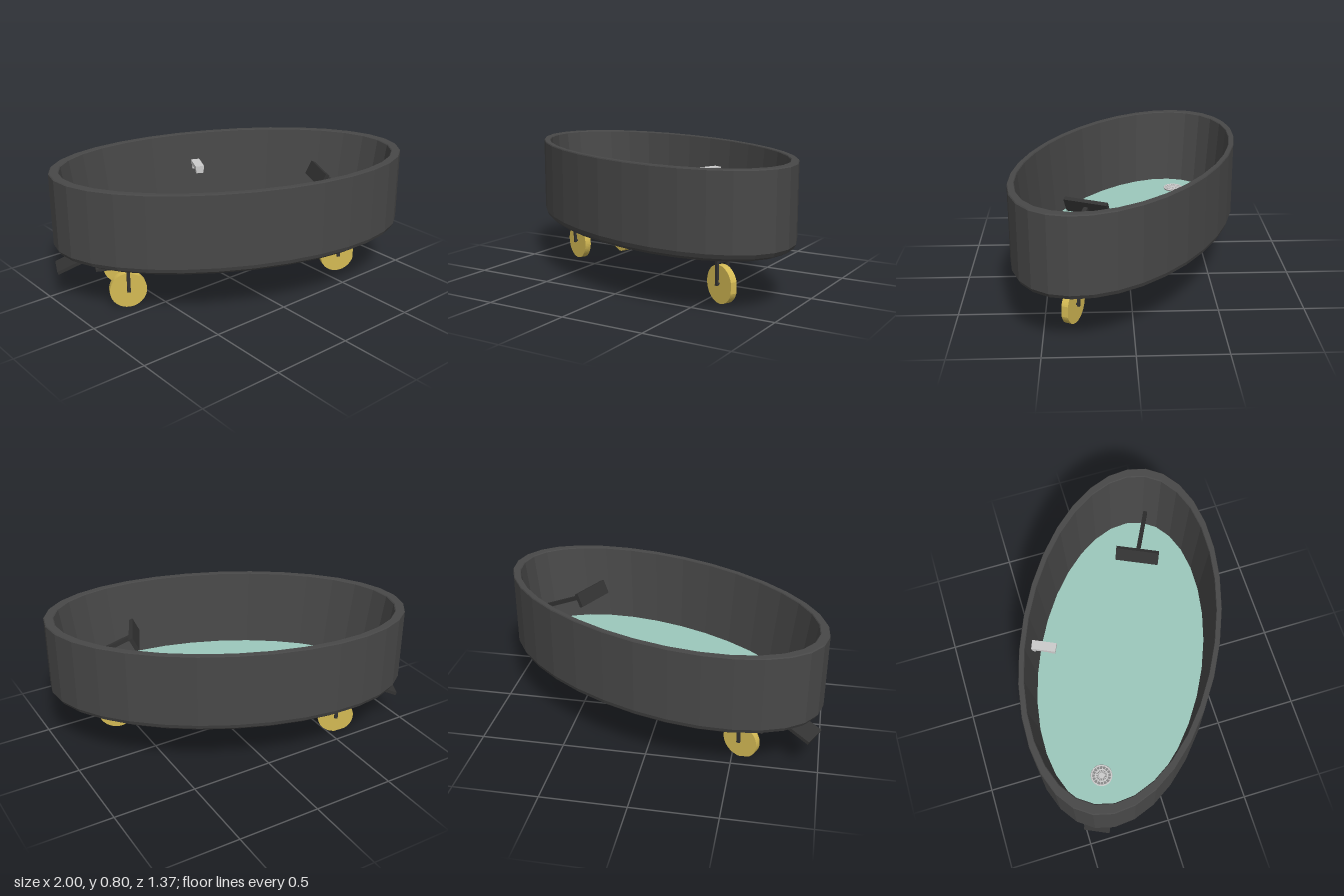
import * as THREE from 'three';

const A = 1.071, B = 0.568; // half-axes of the oval tub

const mat = (color) => new THREE.MeshStandardMaterial({ color, flatShading: true });

export function createModel() {
  const root = new THREE.Group();
  root.name = 'wheeledTub';
  // everything is laid out along the tub's long axis, then turned
  const body = new THREE.Group();
  body.name = 'body';
  body.rotation.y = -THREE.MathUtils.degToRad(25);
  root.add(body);

  const dark = mat(0x484848);
  const black = mat(0x333333);
  const teal = mat(0x9cc8bc);
  const brass = mat(0xd4ba54);
  const grey = mat(0xcccccc);

  function add(name, geometry, material, x = 0, y = 0, z = 0, parent = body) {
    const m = new THREE.Mesh(geometry, material);
    m.name = name;
    m.position.set(x, y, z);
    parent.add(m);
    return m;
  }
  const box = (w, h, d) => new THREE.BoxGeometry(w, h, d);

  // tub shell: closed profile swept round, then squashed to an oval
  const profile = [
    [0, 0.3], [0.88, 0.3], [0.945, 0.312], [0.985, 0.332], [1, 0.357], [1, 0.794], [0.995, 0.8],
    [0.95, 0.8], [0.945, 0.795], [0.885, 0.32], [0, 0.32],
  ].map(([r, y]) => new THREE.Vector2(r, y));
  add('tubShell', new THREE.LatheGeometry(profile, 32).scale(A, 1, B), dark);

  // water surface
  const water = new THREE.CircleGeometry(0.886, 32).rotateX(-Math.PI / 2).scale(A, 1, B);
  add('water', water, teal, 0, 0.328, 0);

  // round drain grille
  const drain = new THREE.Group();
  drain.name = 'drain';
  drain.position.set(-0.756, 0.328, -0.011);
  body.add(drain);
  add('drainBase', new THREE.CylinderGeometry(0.062, 0.062, 0.008, 24), mat(0x888888), 0, 0.004, 0, drain);
  for (const r of [0.06, 0.036, 0.012]) {
    add('drainRing', new THREE.TorusGeometry(r, 0.005, 6, 24).rotateX(Math.PI / 2), grey, 0, 0.008, 0, drain);
  }
  for (let i = 0; i < 8; i++) {
    add('drainSpoke', box(0.116, 0.005, 0.004), grey, 0, 0.01, 0, drain).rotation.y = (i * Math.PI) / 8;
  }

  // tap on the back wall
  add('tapArm', box(0.055, 0.025, 0.155), grey, -0.1, 0.612, -0.452);
  add('tapSpout', box(0.045, 0.025, 0.035), grey, -0.1, 0.59, -0.395);
  add('tapMount', box(0.045, 0.035, 0.03), grey, -0.1, 0.587, -0.51);

  // headrest: tilted pad on a sloping arm
  add('headrestPad', box(0.025, 0.088, 0.26), black, 0.55, 0.65, 0.02).rotation.z = -0.45;
  const arm = add('headrestArm', box(0.46, 0.025, 0.025), black, 0.76, 0.545, 0.02);
  arm.rotation.z = -0.45;

  // underside plate and foot pedal
  add('axlePlate', box(0.16, 0.015, 0.53), black, -0.781, 0.292, 0.017);
  add('footPedal', box(0.24, 0.02, 0.154), black, -0.953, 0.247, 0.004).rotation.z = 0.38;

  // wheel: a disc with a wedge cut out
  const R = 0.11, half = 0.3;
  function wheelGeometry() {
    const s = new THREE.Shape();
    s.moveTo(0.012, 0);
    s.absarc(0, 0, R, half, Math.PI * 2 - half, false);
    s.closePath();
    const g = new THREE.ExtrudeGeometry(s, { depth: 0.04, bevelEnabled: false, curveSegments: 28 });
    return g.translate(0, 0, -0.02);
  }

  // caster: stem, fork, axle and wheel; turn sets where the wedge points
  function caster(x, z, turn) {
    const c = new THREE.Group();
    c.name = 'caster';
    c.position.set(x, 0, z);
    body.add(c);
    add('casterStem', new THREE.CylinderGeometry(0.013, 0.013, 0.06, 10), black, 0, 0.275, 0, c);
    add('forkCrown', box(0.02, 0.018, 0.084), black, 0, 0.245, 0, c);
    for (const side of [-1, 1]) {
      add('forkLeg', box(0.02, 0.15, 0.012), black, 0, 0.18, side * 0.036, c);
    }
    const axle = new THREE.CylinderGeometry(0.007, 0.007, 0.072, 8).rotateX(Math.PI / 2);
    add('axle', axle, black, 0, 0.115, 0, c);
    add('wheel', wheelGeometry(), brass, 0, R, 0, c).rotation.z = THREE.MathUtils.degToRad(turn);
  }
  caster(0.69, 0.05, 0);
  caster(-0.672, 0.198, 68);
  caster(-0.668, -0.13, -108);

  return root;
}
